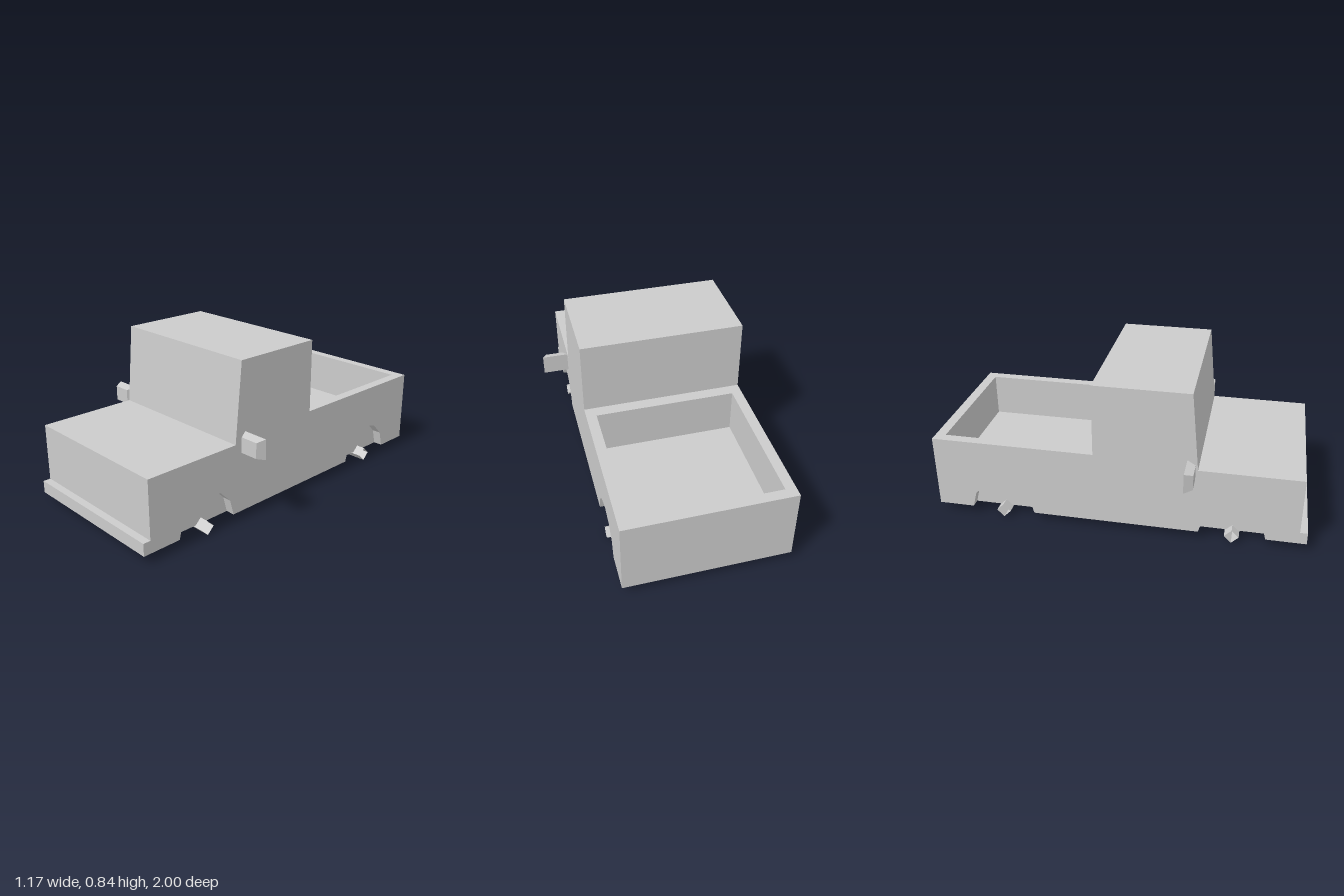
import * as THREE from 'three';

const material = new THREE.MeshStandardMaterial({ color: 0xcccccc, flatShading: true });
const openMaterial = new THREE.MeshStandardMaterial({ color: 0xcccccc, flatShading: true, side: THREE.DoubleSide });

const HALF = 0.435, CORE = 0.385, BED = 0.38;   // half widths: body, body without side panels, bed
const BOTTOM = 0.045, BED_TOP = 0.45, BED_FLOOR = 0.205;
const BED_FRONT = -0.185, BED_BACK = -0.945;
const AXLES = [-0.631, 0.615];
const ARCH_RADIUS = 0.175;

function add(parent, name, geometry, mat = material) {
  const mesh = new THREE.Mesh(geometry, mat);
  mesh.name = name;
  parent.add(mesh);
  return mesh;
}

// Extrudes a (z, y) side outline across x from x0 to x1
function sideExtrude(points, x0, x1) {
  const shape = new THREE.Shape(points.map(([z, y]) => new THREE.Vector2(z, y)));
  const geo = new THREE.ExtrudeGeometry(shape, { depth: x1 - x0, bevelEnabled: false });
  return geo.rotateY(-Math.PI / 2).translate(x1, 0, 0);
}

function block(x0, x1, y0, y1, z0, z1) {
  return new THREE.BoxGeometry(x1 - x0, y1 - y0, z1 - z0)
    .translate((x0 + x1) / 2, (y0 + y1) / 2, (z0 + z1) / 2);
}

// Half of a 12-sided wheel arch, from back to front
function archPoints(z) {
  return Array.from({ length: 7 }, (_, i) => {
    const a = Math.PI * (1 - i / 6);
    return [z + ARCH_RADIUS * Math.cos(a), BOTTOM + ARCH_RADIUS * Math.sin(a)];
  });
}

export function createModel() {
  const truck = new THREE.Group();
  truck.name = 'pickupTruck';

  // Bumper step, hood, sloped windshield, roof and cab back
  const upper = [
    [1, BOTTOM], [1, 0.112], [0.96, 0.112], [0.96, 0.42], [0.425, 0.42],
    [0.385, 0.843], [-0.12, 0.843], [-0.12, BED_TOP],
  ];

  // Cab and hood between the side panels
  add(truck, 'cabAndHood',
    sideExtrude([[BED_FRONT, BOTTOM], ...upper, [BED_FRONT, BED_TOP]], -CORE, CORE));

  // Cargo bed
  add(truck, 'bedFloor', block(-CORE, CORE, BOTTOM, BED_FLOOR, BED_BACK, BED_FRONT));
  add(truck, 'tailgate', block(-CORE, CORE, BOTTOM, BED_TOP, -1, BED_BACK));

  const panel = [[-1, BOTTOM], ...AXLES.flatMap(archPoints), ...upper, [-1, BED_TOP]];
  for (const [side, s] of [['left', 1], ['right', -1]]) {
    const range = (a, b) => (s > 0 ? [a, b] : [-b, -a]);

    // Side panel with wheel arches, and the bed wall behind it
    add(truck, side + 'SidePanel', sideExtrude(panel, ...range(CORE, HALF)));
    add(truck, side + 'BedWall',
      block(...range(BED, CORE), BED_FLOOR, BED_TOP, BED_BACK, BED_FRONT));

    // Mirror tapering towards the front
    const geo = new THREE.BoxGeometry(0.141, 0.108, 0.045);
    const pos = geo.attributes.position;
    for (let i = 0; i < pos.count; i++) {
      if (pos.getZ(i) > 0) pos.setXY(i, pos.getX(i) * 0.7, pos.getY(i) * 0.76);
    }
    geo.computeVertexNormals();
    add(truck, side + 'Mirror', geo).position.set(s * 0.5165, 0.428, 0.393);
  }

  // Open four-sided axle tubes
  AXLES.forEach((z, i) => {
    const geo = new THREE.CylinderGeometry(0.0385, 0.0385, 0.874, 4, 1, true).rotateZ(Math.PI / 2);
    add(truck, i ? 'frontAxle' : 'rearAxle', geo, openMaterial).position.set(0, 0.0385, z);
  });

  return truck;
}
